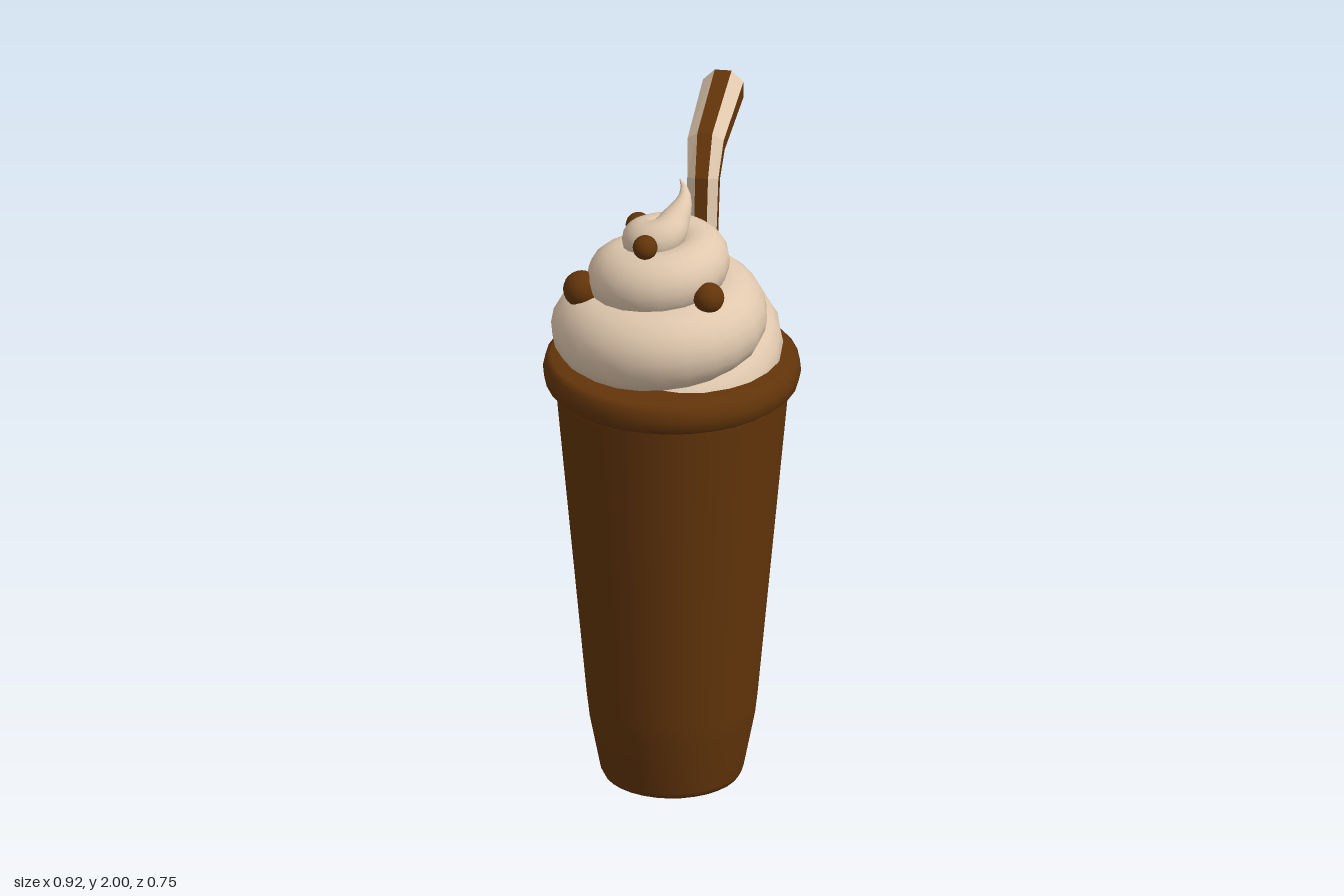
import * as THREE from 'three';

const V2 = (x, y) => new THREE.Vector2(x, y);
const V3 = (x, y, z) => new THREE.Vector3(x, y, z);

export function createModel() {
  const group = new THREE.Group();
  const chocolate = new THREE.MeshStandardMaterial({ color: 0x63350a });
  const cream = new THREE.MeshStandardMaterial({ color: 0xe0c8ae });
  const strawBrown = new THREE.MeshStandardMaterial({ color: 0x63350a, side: THREE.DoubleSide });
  const strawCream = new THREE.MeshStandardMaterial({ color: 0xe0c8ae, side: THREE.DoubleSide });
  chocolate.name = 'chocolate';
  cream.name = 'cream';
  strawBrown.name = 'strawBrown';
  strawCream.name = 'strawCream';

  const add = (name, geometry, material, x = 0, y = 0, z = 0) => {
    const mesh = new THREE.Mesh(geometry, material);
    mesh.name = name;
    mesh.position.set(x, y, z);
    group.add(mesh);
  };
  const CX = -0.087; // axis of the cup

  // Tapered cup with a softened foot
  add('cup', new THREE.LatheGeometry([
    V2(0, 0), V2(0.15, 0), V2(0.18, 0.003), V2(0.198, 0.012), V2(0.207, 0.03),
    V2(0.24, 0.2), V2(0.247, 0.26), V2(0.335, 1.22), V2(0.338, 1.27),
  ], 32), chocolate, CX);

  // Rounded rim with a closed top
  add('rim', new THREE.LatheGeometry([
    V2(0.32, 1.252), V2(0.35, 1.252), V2(0.366, 1.265), V2(0.373, 1.298),
    V2(0.366, 1.331), V2(0.35, 1.344), V2(0.3, 1.344), V2(0, 1.34),
  ], 32), chocolate, CX);

  // Whipped cream: one tapering coil; each entry is a quarter turn [outer radius, y, thickness]
  const coil = new THREE.CatmullRomCurve3([
    [0.30, 1.22, 0.10], [0.305, 1.31, 0.115], [0.345, 1.41, 0.12], [0.345, 1.42, 0.12],
    [0.337, 1.45, 0.125], [0.31, 1.485, 0.12], [0.235, 1.54, 0.10], [0.22, 1.585, 0.095],
    [0.24, 1.62, 0.097], [0.205, 1.66, 0.088], [0.14, 1.69, 0.072], [0.112, 1.71, 0.06],
    [0.13, 1.73, 0.062], [0.09, 1.785, 0.045], [0.092, 1.87, 0.002],
  ].map(p => V3(...p)));
  const turns = 3.5, steps = 84, sides = 18;
  const centreAt = u => {
    const p = coil.getPoint(u);
    const a = Math.PI - u * turns * Math.PI * 2;
    const d = p.x - p.z;
    return V3(CX - 0.023 * u + d * Math.cos(a), p.y, -0.02 * u + d * Math.sin(a));
  };
  const pos = [], idx = [];
  for (let i = 0; i <= steps; i++) {
    const u = i / steps, c = centreAt(u), r = coil.getPoint(u).z;
    const t = centreAt(Math.min(1, u + 0.004)).sub(centreAt(Math.max(0, u - 0.004))).normalize();
    const side = t.clone().cross(V3(0, 1, 0)).normalize();
    const up = side.clone().cross(t);
    for (let j = 0; j < sides; j++) {
      const a = j / sides * Math.PI * 2;
      const p = c.clone().addScaledVector(side, r * Math.cos(a)).addScaledVector(up, r * Math.sin(a));
      pos.push(p.x, p.y, p.z);
      if (i < steps) {
        const k = (j + 1) % sides, A = i * sides + j, B = i * sides + k;
        idx.push(A, A + sides, B, B, A + sides, B + sides);
      }
    }
  }
  const swirl = new THREE.BufferGeometry();
  swirl.setAttribute('position', new THREE.Float32BufferAttribute(pos, 3));
  swirl.setIndex(idx);
  swirl.computeVertexNormals();
  add('creamSwirl', swirl, cream);

  // Core filling the middle of the coil
  add('creamCore', new THREE.CylinderGeometry(0.04, 0.15, 0.3, 20), cream, -0.1, 1.49, -0.01);

  // Chocolate balls on the cream
  [[-0.275, 1.57, -0.185, 0.054], [0.1, 1.555, -0.125, 0.052], [-0.18, 1.615, 0.2, 0.045],
    [-0.06, 1.705, -0.14, 0.037], [-0.245, 1.75, 0.02, 0.036]].forEach(([x, y, z, r]) =>
    add('chocolateBall', new THREE.SphereGeometry(r, 20, 14), chocolate, x, y, z));

  // Bent eight-sided straw, sides alternating in colour
  const path = [V3(0.04, 1.5, 0.01), V3(0.078, 1.84, -0.008), V3(0.128, 1.92, -0.036), V3(0.428, 1.937, -0.195)];
  const radii = [0.046, 0.049, 0.057, 0.064];
  const across = V3(0.47, 0, 0.883).normalize();
  const rings = path.map((p, i) => {
    const t = V3(0, 0, 0);
    if (i > 0) t.add(p.clone().sub(path[i - 1]).normalize());
    if (i < path.length - 1) t.add(path[i + 1].clone().sub(p).normalize());
    const n = t.clone().cross(across).normalize();
    return Array.from({ length: 8 }, (_, j) => {
      const a = (j - 0.5) * Math.PI / 4;
      return p.clone().addScaledVector(across, radii[i] * Math.cos(a)).addScaledVector(n, radii[i] * Math.sin(a));
    });
  });
  const stripes = parity => {
    const points = [];
    for (let j = parity; j < 8; j += 2) {
      const k = (j + 1) % 8;
      for (let i = 0; i < 3; i++) {
        const a = rings[i][j], b = rings[i][k], c = rings[i + 1][k], d = rings[i + 1][j];
        points.push(a, b, c, a, c, d);
      }
      points.push(path[3], rings[3][j], rings[3][k]); // wedge closing the end
    }
    const g = new THREE.BufferGeometry().setFromPoints(points);
    g.computeVertexNormals();
    return g;
  };
  add('strawBrownStripes', stripes(0), strawBrown);
  add('strawCreamStripes', stripes(1), strawCream);

  return group;
}
